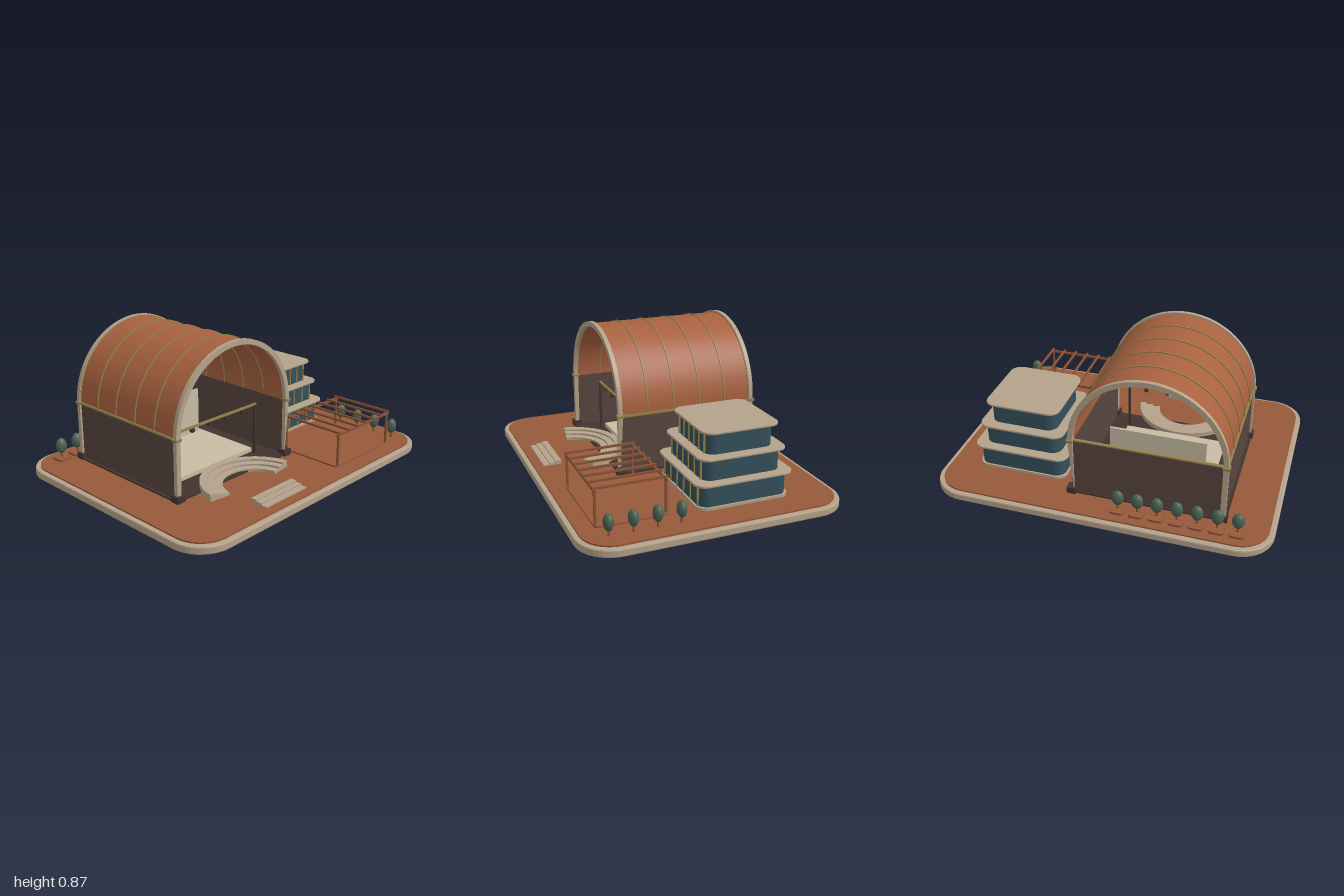
import * as THREE from 'three';

const mat = (color) => new THREE.MeshStandardMaterial({ color, side: THREE.DoubleSide });
const M = {
  tan: mat(0xb5a28a), clay: mat(0x96593a), roof: mat(0xa8613f), wall: mat(0x58453f), dark: mat(0x42342f),
  cream: mat(0xc9bca3), gold: mat(0x94804a), glass: mat(0x34505a), leaf: mat(0x4a6150), wood: mat(0x8a5236),
};

function add(parent, name, geo, material, x = 0, y = 0, z = 0) {
  const m = new THREE.Mesh(geo, material);
  m.name = name;
  m.position.set(x, y, z);
  parent.add(m);
  return m;
}

// Box given by its limits
function box(parent, name, material, x0, x1, y0, y1, z0, z1) {
  return add(parent, name, new THREE.BoxGeometry(x1 - x0, y1 - y0, z1 - z0), material,
    (x0 + x1) / 2, (y0 + y1) / 2, (z0 + z1) / 2);
}

// Flat shape in plan raised to a height
function raise(shape, h, bevel = 0, segments = 8) {
  const geo = new THREE.ExtrudeGeometry(shape, {
    depth: h - 2 * bevel, curveSegments: segments, bevelEnabled: bevel > 0,
    bevelSize: bevel, bevelThickness: bevel, bevelOffset: -bevel, bevelSegments: 2,
  });
  return geo.rotateX(-Math.PI / 2).translate(0, bevel, 0);
}

// Slab with rounded corners in plan
function slab(w, d, r, h, bevel = 0, segments = 8) {
  const s = new THREE.Shape(), a = w / 2 - r, b = d / 2 - r, q = Math.PI / 2;
  s.absarc(a, b, r, 0, q);
  s.absarc(-a, b, r, q, 2 * q);
  s.absarc(-a, -b, r, 2 * q, 3 * q);
  s.absarc(a, -b, r, 3 * q, 4 * q);
  s.closePath();
  return raise(s, h, bevel, segments);
}

// Half ring, with optional straight legs below it
function arch(rOut, rIn, leg, depth) {
  const s = new THREE.Shape();
  if (leg) s.moveTo(rOut, -leg);
  s.absarc(0, 0, rOut, 0, Math.PI);
  if (leg) {
    s.lineTo(-rOut, -leg);
    s.lineTo(-rIn, -leg);
  }
  s.absarc(0, 0, rIn, Math.PI, 0, true);
  if (leg) s.lineTo(rIn, -leg);
  s.closePath();
  return new THREE.ExtrudeGeometry(s, { depth, curveSegments: 40, bevelEnabled: false });
}

function buildHall() {
  const g = new THREE.Group();
  g.name = 'hall';
  g.position.x = -0.265;
  const spring = 0.41, back = -0.565, front = 0.3;

  // Vault, end arches and ribs
  add(g, 'vaultRoof', arch(0.443, 0.43, 0, 0.83), M.roof, 0, spring, -0.547);
  for (const z of [back, front - 0.025])
    add(g, 'endArch', arch(0.455, 0.425, spring - 0.05, 0.025), M.tan, 0, spring, z);
  for (let i = 0; i < 6; i++)
    add(g, 'roofRib', arch(0.449, 0.427, 0, 0.008), M.gold, 0, spring, -0.545 + i * 0.1645);

  // Floor and walls
  box(g, 'hallFloor', M.dark, -0.46, 0.46, 0.05, 0.065, back, front);
  box(g, 'backWall', M.wall, -0.43, 0.43, 0.05, spring, -0.555, -0.54);
  box(g, 'backWallCap', M.gold, -0.43, 0.43, spring, spring + 0.008, -0.557, -0.538);
  for (const s of [-1, 1]) {
    const side = (name, m, x, w, y0, y1, z0, z1) =>
      box(g, name, m, s * x - w / 2, s * x + w / 2, y0, y1, z0, z1);
    side('sideWall', M.wall, 0.435, 0.016, 0.05, spring, -0.545, 0.28);
    side('eavesBand', M.gold, 0.442, 0.022, spring - 0.004, spring + 0.008, back, front);
    side('sideDoor', M.wood, 0.376, 0.025, 0.08, 0.3, -0.54, -0.53);
    for (const z of [back + 0.012, front - 0.012]) {
      side('archFoot', M.dark, 0.44, 0.055, 0.05, 0.093, z - 0.027, z + 0.027);
      side('archBracket', M.gold, 0.442, 0.04, spring - 0.005, spring + 0.009, z - 0.02, z + 0.02);
    }
  }

  // Stage, screen and lighting frame
  box(g, 'stage', M.cream, -0.32, 0.315, 0.05, 0.09, -0.36, 0.13);
  box(g, 'stageScreen', M.cream, -0.285, 0.285, 0.09, 0.375, -0.32, -0.305);
  box(g, 'lightBar', M.gold, -0.325, 0.32, 0.376, 0.388, 0.15, 0.162);
  for (const x of [-0.315, 0.31]) box(g, 'lightPost', M.dark, x - 0.007, x + 0.007, 0.06, 0.38, 0.149, 0.163);
  for (const x of [-0.205, -0.07, 0.065, 0.2]) box(g, 'spotlight', M.dark, x - 0.01, x + 0.01, 0.353, 0.376, 0.145, 0.167);
  return g;
}

function buildTower() {
  const g = new THREE.Group();
  g.name = 'tower';
  g.position.set(0.53, 0, -0.205);
  add(g, 'towerBase', slab(0.55, 0.55, 0.06, 0.018), M.tan, 0, 0.053, 0);
  // width, slab width, floor bottom, slab bottom
  const floors = [[0.53, 0.58, 0.07, 0.192], [0.47, 0.52, 0.205, 0.325], [0.405, 0.455, 0.34, 0.46]];
  for (const [w, sw, y0, y1] of floors) {
    add(g, 'glassFloor', slab(w, w, 0.06, y1 - y0), M.glass, 0, y0, 0);
    add(g, 'floorSlab', slab(sw, sw + 0.005, 0.065, 0.015, 0.004), M.tan, 0, y1, 0);
    for (let i = 0; i < 6; i++) {
      const x = (i / 5 - 0.5) * (w - 0.08);
      box(g, 'mullion', M.gold, x - 0.004, x + 0.004, y0, y1, w / 2 - 0.004, w / 2 + 0.006);
    }
  }
  return g;
}

function buildPergola() {
  const g = new THREE.Group();
  g.name = 'pergola';
  add(g, 'pergolaDeck', slab(0.54, 0.42, 0.03, 0.012), M.clay, 0.5, 0.053, 0.43);
  for (const z of [0.24, 0.632]) {
    for (const x of [0.25, 0.748]) box(g, 'pergolaPost', M.wood, x - 0.006, x + 0.006, 0.06, 0.255, z - 0.006, z + 0.006);
    box(g, 'pergolaBeam', M.wood, 0.235, 0.765, 0.25, 0.264, z - 0.006, z + 0.006);
  }
  for (let i = 0; i < 7; i++) {
    const x = 0.25 + i * 0.083;
    box(g, 'pergolaSlat', M.wood, x - 0.006, x + 0.006, 0.264, 0.276, 0.228, 0.644);
  }
  return g;
}

function buildTree(x, z, planter) {
  const g = new THREE.Group();
  g.name = 'tree';
  g.position.set(x, 0, z);
  if (planter) add(g, 'planter', slab(0.088, 0.095, 0.02, 0.015), M.clay, 0, 0.055, 0);
  const y = planter ? 0.14 : 0.131;
  add(g, 'trunk', new THREE.CylinderGeometry(0.006, 0.007, y - 0.053, 8), M.wood, 0, (y + 0.053) / 2, 0);
  add(g, 'crown', new THREE.SphereGeometry(1, 16, 12), M.leaf, 0, y, 0).scale.set(0.035, 0.047, 0.028);
  return g;
}

export function createModel() {
  const root = new THREE.Group();
  root.name = 'culturalPlaza';

  // Ground
  add(root, 'base', slab(2, 1.53, 0.2, 0.046, 0.008, 6), M.tan);
  add(root, 'plaza', slab(1.94, 1.47, 0.17, 0.012, 0, 6), M.clay, 0, 0.043, 0);

  root.add(buildHall(), buildTower(), buildPergola());

  // Curved seating rows around the front of the stage
  for (let i = 0; i < 3; i++) {
    const s = new THREE.Shape(), r = 0.19 + i * 0.043, a = 0.14;
    s.absarc(0, 0, r + 0.043, a, Math.PI - a);
    s.absarc(0, 0, r, Math.PI - a, a, true);
    s.closePath();
    add(root, 'seatingRow', raise(s, 0.02 + i * 0.011, 0, 24), M.tan, -0.27, 0.053, 0.46);
  }

  // Wide steps
  for (let i = 0; i < 3; i++)
    box(root, 'plazaStep', M.tan, -0.435, -0.1, 0.05, 0.063 + i * 0.008, 0.57, 0.68 - i * 0.036);

  // Tree rows
  for (let i = 0; i < 7; i++) root.add(buildTree(-0.803 + i * 0.113, -0.638, true));
  for (let i = 0; i < 4; i++) root.add(buildTree(0.865, 0.2 + i * 0.133, false));
  return root;
}
